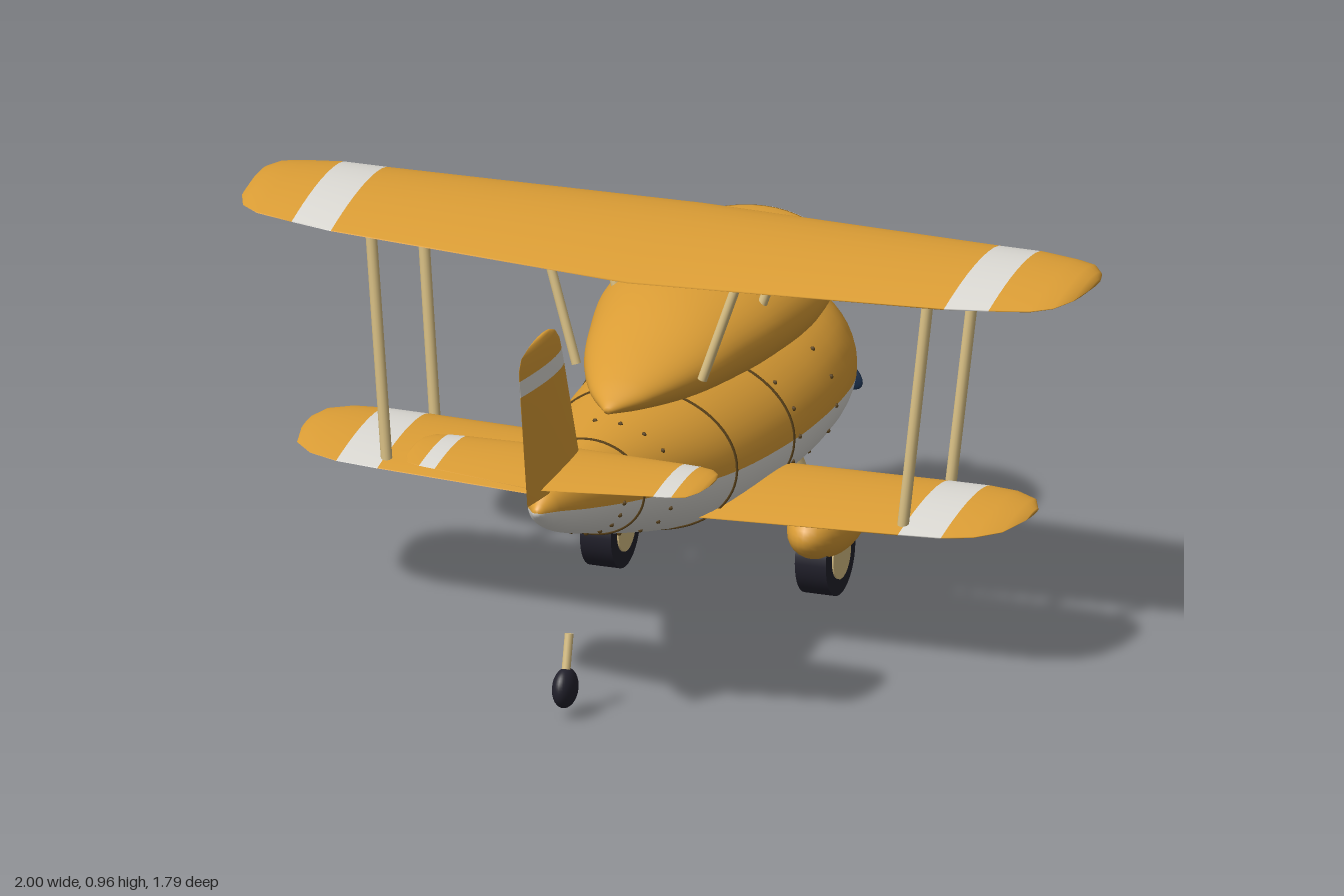
import * as THREE from 'three';

const mat = (name, color) => Object.assign(new THREE.MeshStandardMaterial({ color }), { name });
const V = (x, y, z) => new THREE.Vector3(x, y, z);

// Skin closed rings of equal length, cap both ends; pick(i, j) gives the material index of a cell
function loft(rings, pick = () => 0) {
  const n = rings[0].length, pos = [], lists = [[], []];
  rings.flat().forEach(p => pos.push(p.x, p.y, p.z));
  for (let i = 0; i < rings.length - 1; i++) {
    for (let j = 0; j < n; j++) {
      const a = i * n + j, b = i * n + (j + 1) % n;
      lists[pick(i, j)].push(a, b, a + n, b, b + n, a + n);
    }
  }
  [0, rings.length - 1].forEach(r => {
    const c = rings[r].reduce((s, p) => s.add(p), V(0, 0, 0)).divideScalar(n);
    const k = pos.push(c.x, c.y, c.z) / 3 - 1;
    for (let j = 0; j < n; j++) {
      const a = r * n + j, b = r * n + (j + 1) % n;
      lists[pick(Math.min(r, rings.length - 2), j)].push(...(r ? [a, b, k] : [b, a, k]));
    }
  });
  // Turn faces outward using the signed volume
  let index = lists.flat(), vol = 0;
  const at = i => V(pos[3 * i], pos[3 * i + 1], pos[3 * i + 2]);
  for (let i = 0; i < index.length; i += 3) vol += at(index[i]).dot(at(index[i + 1]).cross(at(index[i + 2])));
  if (vol < 0) for (let i = 0; i < index.length; i += 3) [index[i], index[i + 1]] = [index[i + 1], index[i]];
  const g = new THREE.BufferGeometry();
  g.setAttribute('position', new THREE.Float32BufferAttribute(pos, 3));
  g.setIndex(index);
  g.addGroup(0, lists[0].length, 0);
  if (lists[1].length) g.addGroup(lists[0].length, lists[1].length, 1);
  g.computeVertexNormals();
  return g;
}

// Smoothly interpolate a station table whose first column runs steadily
function sample(table, z) {
  let i = table.findIndex((r, k) => k && z >= r[0]);
  if (i < 0) i = table.length - 1;
  const p = k => table[Math.max(0, Math.min(table.length - 1, k))];
  const a = p(i - 1), b = p(i), h = b[0] - a[0], t = (z - a[0]) / h;
  return a.map((v, c) => {
    const slope = (l, r) => (r[c] - l[c]) / (r[0] - l[0] || 1);
    const m0 = slope(p(i - 2), b) * h, m1 = slope(a, p(i + 1)) * h, t2 = t * t, t3 = t2 * t;
    return (2 * t3 - 3 * t2 + 1) * v + (t3 - 2 * t2 + t) * m0 + (3 * t2 - 2 * t3) * b[c] + (t3 - t2) * m1;
  });
}
const stationsOf = (table, steps) => table.flatMap((r, i) => i === table.length - 1 ? [r] :
  Array.from({ length: steps }, (_, k) => k ? sample(table, r[0] + (table[i + 1][0] - r[0]) * k / steps) : r));

// Fuselage stations: z, top, bottom, half width, belly paint line
const BODY = [
  [0.785, 0.555, 0.535, 0.01, 0.545], [0.74, 0.585, 0.5, 0.038, 0.54], [0.65, 0.6, 0.455, 0.072, 0.52],
  [0.5, 0.605, 0.402, 0.115, 0.49], [0.33, 0.61, 0.345, 0.165, 0.465], [0.1, 0.615, 0.28, 0.225, 0.443],
  [-0.16, 0.615, 0.25, 0.258, 0.43], [-0.35, 0.618, 0.245, 0.263, 0.425], [-0.5, 0.63, 0.243, 0.255, 0.422],
  [-0.6, 0.64, 0.245, 0.24, 0.42], [-0.67, 0.633, 0.252, 0.215, 0.42], [-0.71, 0.6, 0.28, 0.18, 0.42],
  [-0.735, 0.55, 0.33, 0.125, 0.42], [-0.742, 0.49, 0.39, 0.05, 0.42]];

// Ring whose first half lies above the paint line and second half below it
function bodyRing([z, top, bot, w, line], n = 48, grow = 0) {
  const cy = (top + bot) / 2, ry = (top - bot) / 2;
  const a0 = Math.asin(Math.max(-0.9, Math.min(0.9, (line - cy) / ry)));
  return Array.from({ length: n }, (_, j) => {
    const h = n / 2, a = j < h ? a0 + (Math.PI - 2 * a0) * j / h : Math.PI - a0 + (Math.PI + 2 * a0) * (j - h) / h;
    return V((w + grow) * Math.cos(a), cy + (ry + grow) * Math.sin(a), z);
  });
}

// Cabin stations: z, centre height, half width, half height
const CABIN = [[0.335, 0.635, 0.01, 0.008], [0.25, 0.645, 0.075, 0.038], [0.1, 0.655, 0.145, 0.078],
  [-0.05, 0.665, 0.188, 0.108], [-0.2, 0.67, 0.222, 0.121], [-0.4, 0.67, 0.237, 0.122],
  [-0.55, 0.682, 0.235, 0.106], [-0.63, 0.696, 0.225, 0.09], [-0.66, 0.701, 0.218, 0.082]];

// The cabin front is wrapped backward at its sides
function cabinRing([z, cy, rx, ry]) {
  const ramp = Math.max(0, Math.min(1, (-z - 0.3) / 0.36));
  return Array.from({ length: 48 }, (_, j) => {
    const a = j / 48 * Math.PI * 2, x = rx * Math.cos(a);
    return V(x, cy + ry * Math.sin(a), z + 1.9 * x * x * ramp);
  });
}

// Airfoil surface from stations: span, leading z, trailing z, height, thickness
function wing(table, stripe, upright) {
  const rows = upright ? table : [...table.slice(1).reverse().map(r => [-r[0], ...r.slice(1)]), ...table];
  const N = 14;
  const rings = rows.map(([s, lead, trail, h, t]) => Array.from({ length: 2 * N }, (_, j) => {
    const c = (1 - Math.cos(Math.PI * j / N)) / 2;
    const f = 2.6 * Math.sqrt(c) * (1 - c) * t * (j <= N ? 1 : upright ? -1 : -0.55);
    const z = lead + (trail - lead) * c;
    return upright ? V(h + f, s, z) : V(s, h + f, z);
  }));
  return loft(rings, i => {
    const m = Math.abs(rows[i][0] + rows[i + 1][0]) / 2;
    return m > stripe[0] && m < stripe[1] ? 1 : 0;
  });
}

export function createModel() {
  const model = new THREE.Group();
  model.name = 'biplane';
  const orange = mat('orange paint', 0xdb9d35), white = mat('white paint', 0xdbd9d3), tan = mat('tan wood', 0xd8bf84),
    navy = mat('navy blade', 0x1b2f4b), black = mat('black rubber', 0x22212c), brown = mat('brown seam', 0x5c431a);
  const add = (name, geo, m, p = [0, 0, 0], s = [1, 1, 1], parent = model) => {
    const o = new THREE.Mesh(geo, m);
    o.name = name;
    o.position.set(...p);
    o.scale.set(...s);
    parent.add(o);
    return o;
  };
  const ball = new THREE.SphereGeometry(1, 32, 20), speck = new THREE.SphereGeometry(0.006, 6, 4);
  const rod = (name, a, b, r) => {
    const d = b.clone().sub(a);
    const o = add(name, new THREE.CylinderGeometry(r, r, d.length(), 14), tan, a.clone().add(b).multiplyScalar(0.5).toArray());
    o.quaternion.setFromUnitVectors(V(0, 1, 0), d.normalize());
  };

  // Fuselage with its painted belly, seams and rivets
  add('fuselage', loft(stationsOf(BODY, 4).map(r => bodyRing(r)), (i, j) => j < 24 ? 0 : 1), [orange, white]);
  [0.45, 0.11, -0.16].forEach(z => {
    const path = new THREE.CatmullRomCurve3(bodyRing(sample(BODY, z)), true);
    add('panelSeam', new THREE.TubeGeometry(path, 72, 0.004, 5, true), brown);
  });
  [0.52, 0.335, -0.19, -0.42].forEach(z => bodyRing(sample(BODY, z), 18).forEach(p => add('rivet', speck, brown, p.toArray())));

  // Cabin and wraparound windshield with eyes
  add('cabin', loft(stationsOf(CABIN, 4).map(cabinRing)), orange);
  add('windshield', loft([1, 0.98, 0.93, 0.83, 0.65, 0.4, 0.15].map(s =>
    cabinRing([-0.66 - 0.022 * Math.sqrt(1 - s * s), 0.701, 0.218 * s, 0.082 * s]))), white);
  [-1, 1].forEach(k => {
    const eye = new THREE.Group();
    eye.name = 'eye';
    eye.position.set(k * 0.093, 0.69, -0.664);
    eye.rotation.y = -k * 0.34;
    model.add(eye);
    add('iris', ball, brown, [0, 0, 0], [0.026, 0.034, 0.006], eye);
    add('pupil', ball, black, [0, 0, -0.003], [0.02, 0.028, 0.006], eye);
    add('glint', ball, white, [0.007, 0.012, -0.007], [0.005, 0.006, 0.003], eye);
  });
  // Smile on the nose
  const smile = new THREE.CatmullRomCurve3([V(-0.085, 0.385, -0.738), V(-0.045, 0.355, -0.74), V(0, 0.347, -0.739), V(0.045, 0.355, -0.74), V(0.085, 0.385, -0.738)]);
  add('smile', new THREE.TubeGeometry(smile, 24, 0.005, 6), black);

  // Wings and tail surfaces
  add('upperWing', wing([[0, -0.29, 0.215, 0.897, 0.05], [0.73, -0.247, 0.15, 0.905, 0.042], [0.83, -0.24, 0.132, 0.908, 0.04],
    [0.92, -0.22, 0.11, 0.91, 0.034], [0.965, -0.2, 0.08, 0.913, 0.027], [0.99, -0.165, 0.02, 0.914, 0.018],
    [1, -0.13, -0.06, 0.915, 0.006]], [0.73, 0.83]), [orange, white]);
  add('lowerWing', wing([[0, -0.22, 0.16, 0.335, 0.036], [0.62, -0.2, 0.148, 0.355, 0.032], [0.72, -0.195, 0.142, 0.358, 0.031],
    [0.79, -0.18, 0.12, 0.361, 0.027], [0.84, -0.15, 0.07, 0.363, 0.018], [0.863, -0.1, -0.02, 0.364, 0.006]],
  [0.62, 0.72]), [orange, white]);
  add('tailplane', wing([[0, 0.51, 0.787, 0.6, 0.02], [0.26, 0.528, 0.742, 0.603, 0.016], [0.3, 0.531, 0.735, 0.603, 0.015],
    [0.33, 0.54, 0.725, 0.604, 0.012], [0.348, 0.56, 0.685, 0.604, 0.008], [0.355, 0.59, 0.64, 0.604, 0.003]],
  [0.26, 0.3]), [orange, white]);
  add('tailFin', wing([[0.58, 0.52, 0.845, 0, 0.02], [0.855, 0.625, 0.891, 0, 0.018], [0.895, 0.64, 0.898, 0, 0.017],
    [0.92, 0.65, 0.9, 0, 0.015], [0.945, 0.675, 0.885, 0, 0.011], [0.956, 0.705, 0.84, 0, 0.007], [0.96, 0.735, 0.79, 0, 0.003]],
  [0.855, 0.895], true), [orange, white]);

  // Struts and main landing gear, mirrored
  [-1, 1].forEach(k => {
    rod('rearWingStrut', V(k * 0.615, 0.36, 0.1), V(k * 0.665, 0.905, 0.07), 0.013);
    rod('frontWingStrut', V(k * 0.615, 0.36, -0.205), V(k * 0.665, 0.905, -0.245), 0.013);
    rod('rearCabinStrut', V(k * 0.15, 0.66, 0.135), V(k * 0.228, 0.9, 0.11), 0.011);
    rod('frontCabinStrut', V(k * 0.15, 0.66, -0.17), V(k * 0.228, 0.9, -0.205), 0.011);
    rod('gearLeg', V(k * 0.19, 0.36, -0.305), V(k * 0.24, 0.18, -0.35), 0.022);
    add('wheelFairing', ball, orange, [k * 0.258, 0.167, -0.373], [0.077, 0.076, 0.158]);
    add('wheel', new THREE.CylinderGeometry(0.094, 0.094, 0.074, 36), black, [k * 0.256, 0.094, -0.362]).rotation.z = Math.PI / 2;
    add('wheelHub', new THREE.CylinderGeometry(0.056, 0.056, 0.082, 28), tan, [k * 0.256, 0.094, -0.362]).rotation.z = Math.PI / 2;
  });

  // Tail wheel
  rod('tailWheelLeg', V(0, 0.19, 0.58), V(0, 0.09, 0.605), 0.01);
  add('tailWheel', ball, black, [0, 0.07, 0.605], [0.027, 0.046, 0.046]);

  // Propeller and spinner
  add('spinner', ball, tan, [0, 0.45, -0.81], [0.062, 0.062, 0.083]);
  const blade = new THREE.SphereGeometry(1, 24, 16);
  blade.translate(0, 1, 0);
  for (let i = 0; i < 3; i++) {
    add('propellerBlade', blade, navy, [0, 0.45, -0.77], [0.042, 0.11, 0.012]).rotation.z = i * Math.PI * 2 / 3;
  }
  return model;
}
